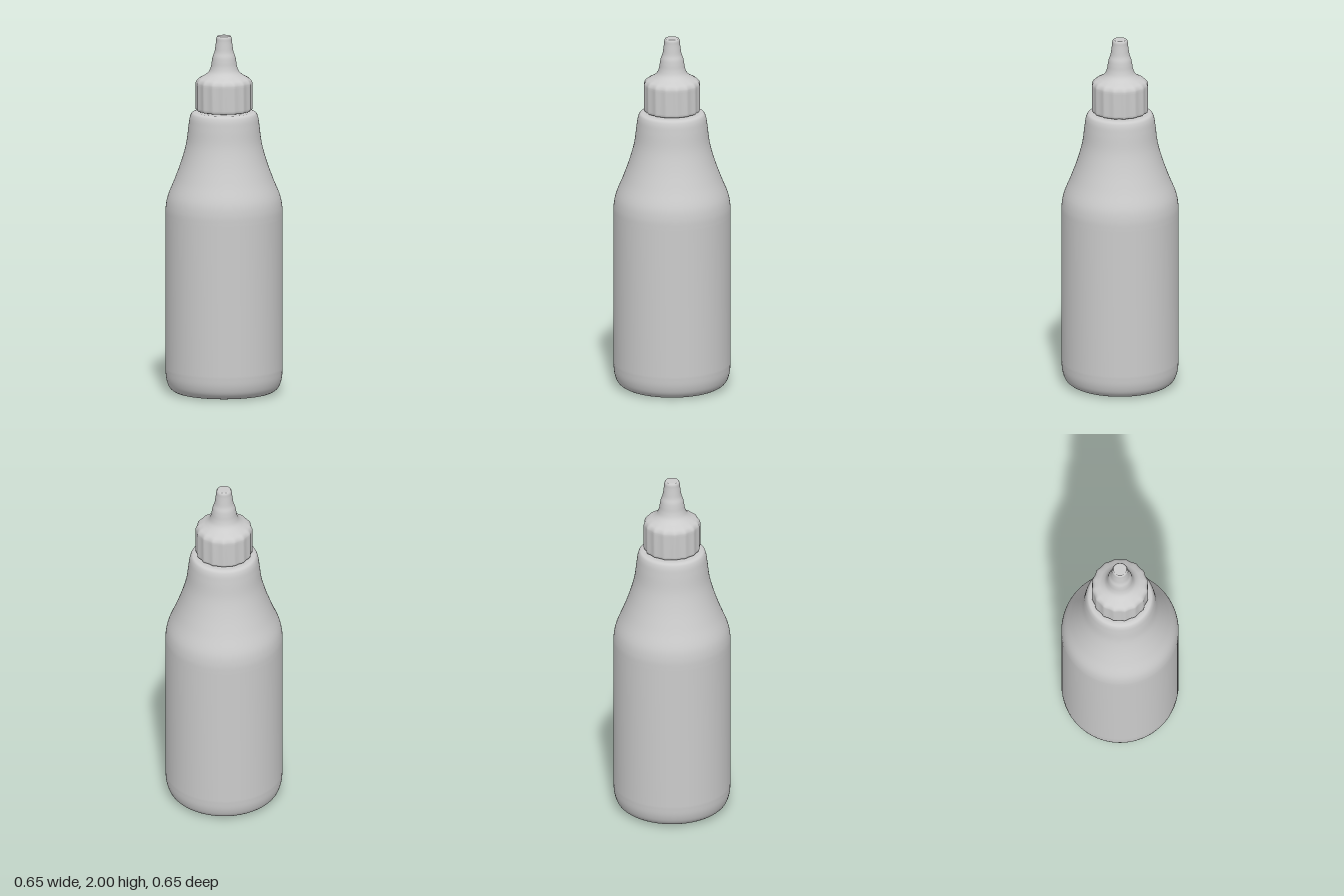
import * as THREE from 'three';
import { mergeVertices } from 'three/addons/utils/BufferGeometryUtils.js';

const material = new THREE.MeshStandardMaterial({ color: 0xcccccc });

// Smooth run of profile points through [radius, height] pairs
function smooth(pairs, divisions) {
  const curve = new THREE.CatmullRomCurve3(pairs.map(([r, y]) => new THREE.Vector3(r, y, 0)));
  return curve.getPoints(divisions).map((p) => new THREE.Vector2(Math.max(p.x, 0), p.y));
}

// Lathe with an optional rule for the radius, and seamless smooth normals
function turned(name, profile, segments, radiusRule) {
  let geometry = new THREE.LatheGeometry(profile, segments);
  const pos = geometry.attributes.position;
  if (radiusRule) {
    for (let i = 0; i < pos.count; i++) {
      const x = pos.getX(i), z = pos.getZ(i);
      const k = radiusRule(Math.atan2(x, z), pos.getY(i));
      pos.setXYZ(i, x * k, pos.getY(i), z * k);
    }
  }
  geometry.deleteAttribute('uv');
  geometry.deleteAttribute('normal');
  geometry = mergeVertices(geometry, 1e-5);
  geometry.computeVertexNormals();
  const mesh = new THREE.Mesh(geometry, material);
  mesh.name = name;
  return mesh;
}

export function createModel() {
  const model = new THREE.Group();
  model.name = 'squeezeBottle';

  // Bottle: rounded base, straight wall, tapering shoulder and rounded lip
  const bottle = [
    new THREE.Vector2(0, 0),
    new THREE.Vector2(0.2, 0),
    ...smooth([[0.235, 0], [0.272, 0.007], [0.302, 0.03], [0.319, 0.075], [0.325, 0.14]], 20),
    ...smooth([[0.325, 0.98], [0.323, 1.04], [0.312, 1.1], [0.272, 1.2], [0.236, 1.3], [0.209, 1.4],
      [0.196, 1.5], [0.188, 1.548], [0.178, 1.568], [0.162, 1.575]], 48),
    new THREE.Vector2(0.14, 1.575),
    new THREE.Vector2(0, 1.575),
  ];
  model.add(turned('bottle', bottle, 96));

  // Cap: fluted grip, domed shoulder and stepped nozzle
  const cap = [
    new THREE.Vector2(0, 1.581),
    new THREE.Vector2(0.143, 1.581),
    ...smooth([[0.147, 1.581], [0.155, 1.586], [0.158, 1.6]], 6),
    ...smooth([[0.158, 1.725], [0.156, 1.742], [0.145, 1.758], [0.125, 1.77], [0.102, 1.783],
      [0.083, 1.802], [0.072, 1.83], [0.067, 1.86], [0.062, 1.885], [0.053, 1.91],
      [0.048, 1.94], [0.044, 1.97], [0.042, 1.99], [0.036, 2]], 60),
    new THREE.Vector2(0.03, 2),
    new THREE.Vector2(0, 2),
  ];
  // Sixteen shallow scallops that fade out over the shoulder
  const flutes = 16;
  model.add(turned('nozzleCap', cap, flutes * 10, (angle, y) => {
    const fade = 1 - THREE.MathUtils.smoothstep(y, 1.74, 1.785);
    return 1 - 0.034 * fade * Math.abs(Math.cos(angle * flutes / 2)) ** 1.3;
  }));

  return model;
}
